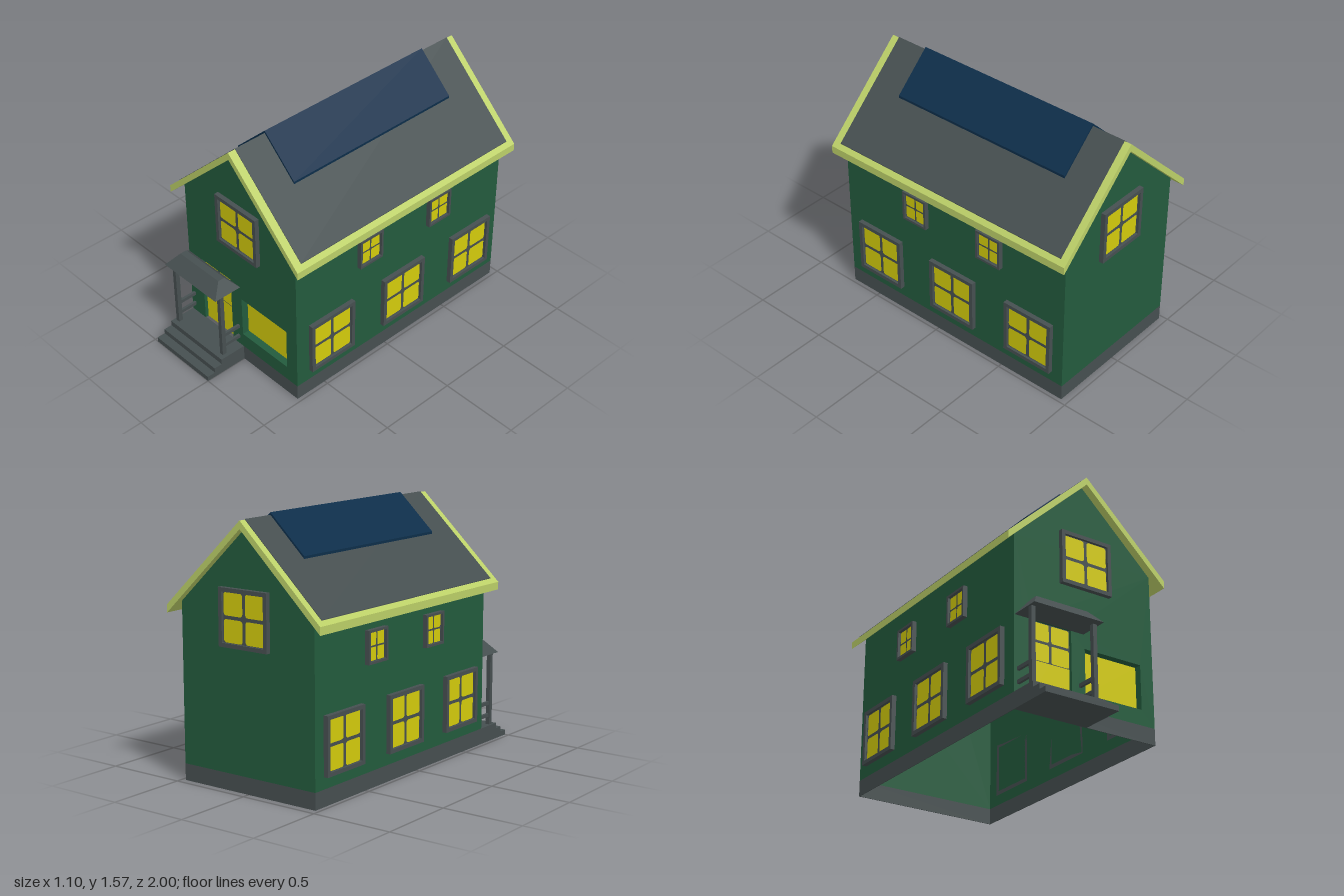
import * as THREE from 'three';

const mat = (name, color, side = THREE.FrontSide) => {
  const m = new THREE.MeshStandardMaterial({ color, side });
  m.name = name;
  return m;
};

export function createModel() {
  const house = new THREE.Group();
  house.name = 'house';
  const green = mat('wall green', 0x235b3d, THREE.DoubleSide);
  const grey = mat('slate grey', 0x464f50, THREE.DoubleSide);
  const yellow = mat('window yellow', 0xd3cb0c, THREE.DoubleSide);
  const lime = mat('trim lime', 0xbcd068);
  const navy = mat('solar navy', 0x0d2e4a);

  const W = 0.475, FRONT = 0.715, BACK = -0.955, BASE = 0.1, EAVE = 1.051, RIDGE = 1.5;
  const SLOPE = 0.945, LEN = FRONT - BACK, MID = (FRONT + BACK) / 2;

  const add = (parent, name, geo, material, x = 0, y = 0, z = 0) => {
    const m = new THREE.Mesh(geo, material);
    m.name = name;
    m.position.set(x, y, z);
    parent.add(m);
    return m;
  };
  // Box given by its min and max corners
  const box = (parent, name, material, x0, x1, y0, y1, z0, z1) =>
    add(parent, name, new THREE.BoxGeometry(x1 - x0, y1 - y0, z1 - z0), material,
      (x0 + x1) / 2, (y0 + y1) / 2, (z0 + z1) / 2);
  const poly = (pts) => new THREE.Shape(pts.map((p) => new THREE.Vector2(p[0], p[1])));
  const extrude = (shape, depth) => new THREE.ExtrudeGeometry(shape, { depth, bevelEnabled: false });
  const rect = (x0, x1, y0, y1) => [[x0, y0], [x1, y0], [x1, y1], [x0, y1]];

  // Rectangular hole with rounded corners
  const roundHole = (x0, x1, y0, y1, r) => {
    const p = new THREE.Path();
    p.moveTo(x0 + r, y0).lineTo(x1 - r, y0).quadraticCurveTo(x1, y0, x1, y0 + r)
      .lineTo(x1, y1 - r).quadraticCurveTo(x1, y1, x1 - r, y1)
      .lineTo(x0 + r, y1).quadraticCurveTo(x0, y1, x0, y1 - r)
      .lineTo(x0, y0 + r).quadraticCurveTo(x0, y0, x0 + r, y0);
    return p;
  };
  // Flat four-pane grille centred on the origin
  const grille = (w, h, bar, edge, r) => {
    const s = poly(rect(-w / 2, w / 2, -h / 2, h / 2));
    const a = w / 2 - edge, b = h / 2 - edge, c = bar / 2;
    for (const [x0, x1] of [[-a, -c], [c, a]])
      for (const [y0, y1] of [[-b, -c], [c, b]]) s.holes.push(roundHole(x0, x1, y0, y1, r));
    return new THREE.ShapeGeometry(s, 5);
  };

  // Foundation ring, open underneath
  const foundation = poly(rect(-W, W, BACK, FRONT));
  const t = 0.004;
  foundation.holes.push(poly(rect(-W + t, W - t, BACK + t, FRONT - t)));
  add(house, 'foundation', extrude(foundation, BASE).rotateX(Math.PI / 2)
    .scale(1, 1, 1), grey, 0, BASE, 0);

  // Walls: front has a door notch and a recessed picture window
  const DX0 = -0.355, DX1 = -0.095, DTOP = 0.56;
  const frontShape = poly([[-W, BASE], [DX0, BASE], [DX0, DTOP], [DX1, DTOP], [DX1, BASE],
    [W, BASE], [W, EAVE], [0, RIDGE], [-W, EAVE]]);
  frontShape.holes.push(poly(rect(-0.003, 0.387, 0.195, 0.468)));
  add(house, 'frontWall', extrude(frontShape, 0.05), green, 0, 0, FRONT - 0.05);
  const gable = poly([[-W, BASE], [W, BASE], [W, EAVE], [0, RIDGE], [-W, EAVE]]);
  add(house, 'backWall', new THREE.ShapeGeometry(gable).rotateY(Math.PI), green, 0, 0, BACK);
  for (const s of [-1, 1])
    add(house, s > 0 ? 'leftWall' : 'rightWall',
      new THREE.PlaneGeometry(LEN, EAVE - BASE).rotateY(s * Math.PI / 2), green, s * W, (EAVE + BASE) / 2, MID);

  // Picture window and door
  box(house, 'pictureWindow', yellow, -0.003, 0.387, 0.195, 0.468, FRONT - 0.052, FRONT - 0.045);
  box(house, 'door', yellow, DX0, DX1, BASE, DTOP, FRONT - 0.03, FRONT - 0.022);
  add(house, 'doorGrille', grille(DX1 - DX0, 0.235, 0.016, 0.004, 0.012), grey,
    (DX0 + DX1) / 2, 0.443, FRONT - 0.019);

  // Framed windows
  const addWindow = (name, w, h, x, y, z, turn) => {
    const g = new THREE.Group();
    g.name = name;
    const f = w > 0.25 ? 0.024 : 0.014;
    const frame = poly(rect(-w / 2, w / 2, -h / 2, h / 2));
    frame.holes.push(poly(rect(-w / 2 + f, w / 2 - f, -h / 2 + f, h / 2 - f)));
    add(g, 'windowFrame', extrude(frame, 0.029), grey);
    const gw = w - 2 * f, gh = h - 2 * f;
    add(g, 'windowGlass', new THREE.PlaneGeometry(gw, gh), yellow, 0, 0, 0.01);
    add(g, 'windowGrille', grille(gw, gh, w > 0.25 ? 0.02 : 0.01, 0.002, w * 0.06), grey, 0, 0, 0.014);
    g.position.set(x, y, z);
    g.rotation.y = turn;
    house.add(g);
  };
  addWindow('frontGableWindow', 0.345, 0.335, 0.005, 0.997, FRONT, 0);
  addWindow('backGableWindow', 0.345, 0.335, 0.005, 0.997, BACK, Math.PI);
  for (const s of [-1, 1]) {
    for (const z of [0.45, -0.13, -0.71])
      addWindow('lowerWindow', 0.34, 0.345, s * W, 0.343, z, s * Math.PI / 2);
    for (const z of [0.15, -0.415])
      addWindow('upperWindow', 0.18, 0.195, s * W, 0.825, z, s * Math.PI / 2);
  }

  // Roof layers share one chevron section
  const chevron = (name, material, half, top, thick, z0, z1) => {
    const e = top - SLOPE * half;
    add(house, name, extrude(poly([[-half, e - thick], [0, top - thick], [half, e - thick],
      [half, e], [0, top], [-half, e]]), z1 - z0), material, 0, 0, z0);
  };
  chevron('roofTrim', lime, 0.548, 1.546, 0.047, -1.0, 0.765);
  chevron('roofShingles', grey, 0.522, 1.55, 0.006, BACK, FRONT);
  chevron('solarPanel', navy, 0.236, 1.565, 0.017, -0.74, 0.5);

  // Porch deck and steps
  [[0.1, 0.89], [0.065, 0.945], [0.032, 1.0]].forEach(([y, z], i) =>
    box(house, i ? 'porchStep' : 'porchDeck', grey, -W, 0, 0, y, i ? [0, 0.89, 0.945][i] : FRONT, z));

  // Porch posts and side rails
  for (const x of [-0.448, -0.038]) {
    box(house, 'porchPost', grey, x - 0.013, x + 0.013, BASE, 0.558, 0.83, 0.858);
    for (const y of [0.16, 0.238])
      box(house, 'porchRail', grey, x - 0.008, x + 0.008, y - 0.011, y + 0.011, FRONT, 0.83);
  }

  // Hipped porch roof: a box whose top corners are drawn in
  const hip = new THREE.BoxGeometry(1, 1, 1);
  const p = hip.attributes.position;
  for (let i = 0; i < p.count; i++) {
    const up = p.getY(i) > 0, right = p.getX(i) > 0, fwd = p.getZ(i) > 0;
    p.setXYZ(i, right ? (up ? -0.065 : -0.01) : (up ? -0.41 : -0.472), up ? 0.635 : 0.555,
      fwd ? (up ? 0.83 : 0.903) : (up ? 0.785 : FRONT));
  }
  hip.computeVertexNormals();
  add(house, 'porchRoof', hip, grey);

  return house;
}
